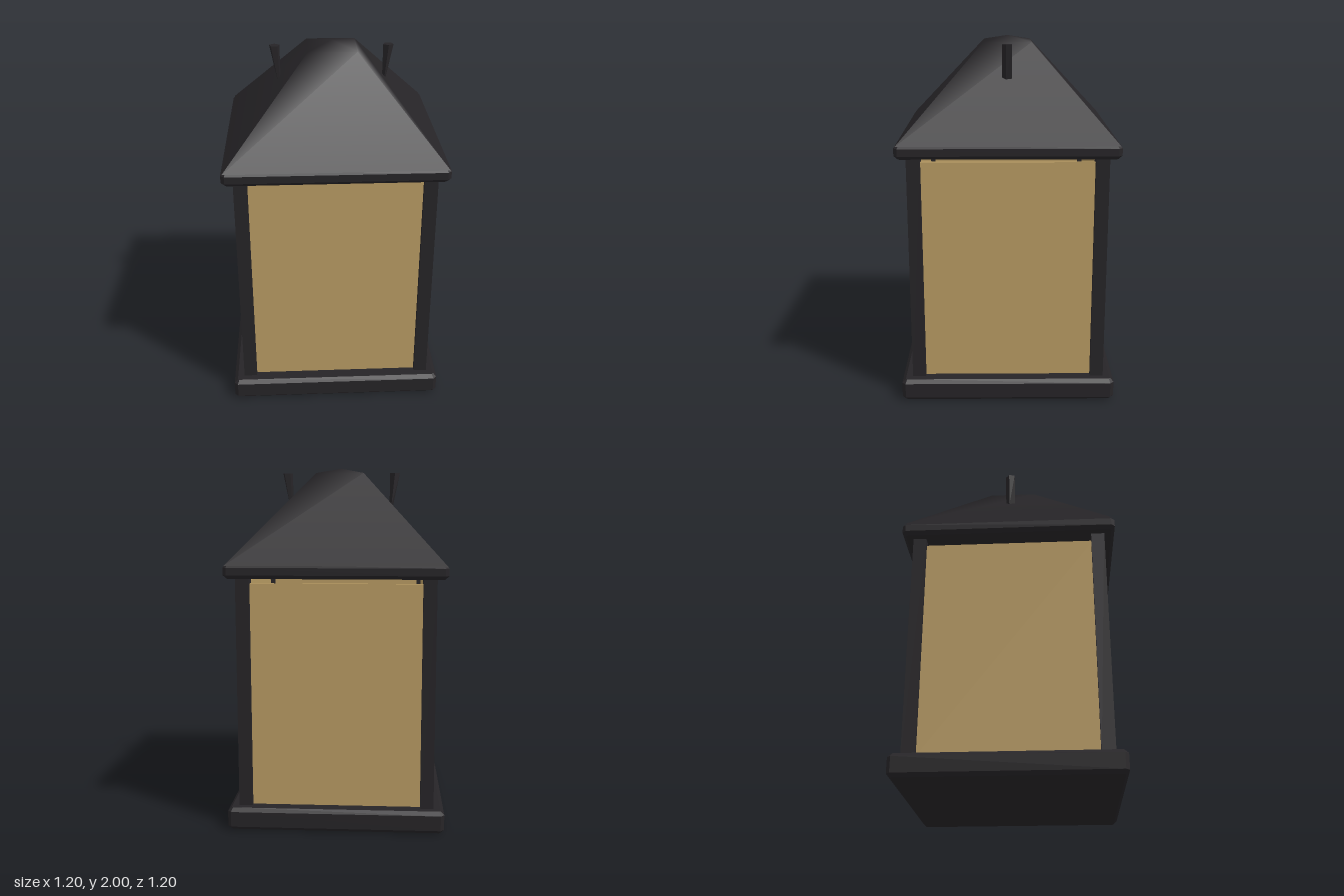
import * as THREE from 'three';

const metal = new THREE.MeshStandardMaterial({ color: 0x262427 });
const amber = new THREE.MeshStandardMaterial({ color: 0xb89b63 });

function add(parent, name, geometry, material, x = 0, y = 0, z = 0) {
  const mesh = new THREE.Mesh(geometry, material);
  mesh.name = name;
  mesh.position.set(x, y, z);
  parent.add(mesh);
  return mesh;
}

// Square slab with all edges chamfered, standing on y = 0
function chamferedSlab(half, height, bevel) {
  const h = half - bevel, c = h - bevel * 0.414;
  const corners = [[h, -c], [h, c], [c, h], [-c, h], [-h, c], [-h, -c], [-c, -h], [c, -h]];
  const shape = new THREE.Shape(corners.map(([x, y]) => new THREE.Vector2(x, y)));
  const geometry = new THREE.ExtrudeGeometry(shape, {
    depth: height - 2 * bevel, bevelSize: bevel, bevelThickness: bevel, bevelSegments: 1,
  });
  return geometry.translate(0, 0, bevel).rotateX(-Math.PI / 2);
}

// Hipped roof: crisp hips at the eaves that soften into a shallow cap
function roofGeometry(eaveHalf, capHalf, capY, topY) {
  const signs = [[1, 1], [1, -1], [-1, -1], [-1, 1]];
  const positions = [0, topY, 0];
  const index = [];
  for (const [x, z] of signs) positions.push(x * capHalf, capY, z * capHalf);
  for (let i = 0; i < 4; i++) {
    const j = (i + 1) % 4, a = 5 + i * 2, b = a + 1;
    for (const [x, z] of [signs[i], signs[j]]) positions.push(x * eaveHalf, 0, z * eaveHalf);
    index.push(a, b, 1 + j, a, 1 + j, 1 + i, 1 + i, 1 + j, 0);
  }
  const geometry = new THREE.BufferGeometry();
  geometry.setAttribute('position', new THREE.Float32BufferAttribute(positions, 3));
  geometry.setIndex(index);
  geometry.computeVertexNormals();
  return geometry;
}

// Five-sided peg that narrows and leans inward toward its foot
function pegGeometry(height) {
  const geometry = new THREE.CylinderGeometry(0.03, 0.03, height, 5).toNonIndexed();
  const p = geometry.attributes.position;
  for (let i = 0; i < p.count; i++) {
    if (p.getY(i) < 0) p.setX(i, p.getX(i) * 0.35 - 0.02);
  }
  geometry.computeVertexNormals();
  return geometry;
}

export function createModel() {
  const lantern = new THREE.Group();
  lantern.name = 'lantern';

  // Base and roof
  add(lantern, 'base', chamferedSlab(0.6, 0.125, 0.02), metal);
  add(lantern, 'eaves', chamferedSlab(0.6, 0.08, 0.02), metal, 0, 1.4, 0);
  add(lantern, 'roof', roofGeometry(0.592, 0.135, 0.5, 0.53), metal, 0, 1.47, 0);

  // Corner posts
  for (const x of [-1, 1]) {
    for (const z of [-1, 1]) {
      add(lantern, 'cornerPost', new THREE.BoxGeometry(0.074, 1.32, 0.074), metal, x * 0.505, 0.76, z * 0.505);
    }
  }

  // Glass panes, stopping short of the eaves
  for (let i = 0; i < 4; i++) {
    const side = new THREE.Group();
    side.name = 'paneSide';
    side.rotation.y = i * Math.PI / 2;
    add(side, 'pane', new THREE.BoxGeometry(0.96, 1.26, 0.02), amber, 0, 0.74, 0.505);
    lantern.add(side);
  }

  // Pegs on the two side slopes
  for (let i = 0; i < 2; i++) {
    const side = new THREE.Group();
    side.name = 'pegSide';
    side.rotation.y = i * Math.PI;
    add(side, 'peg', pegGeometry(0.19), metal, 0.315, 1.878, 0);
    lantern.add(side);
  }
  return lantern;
}
